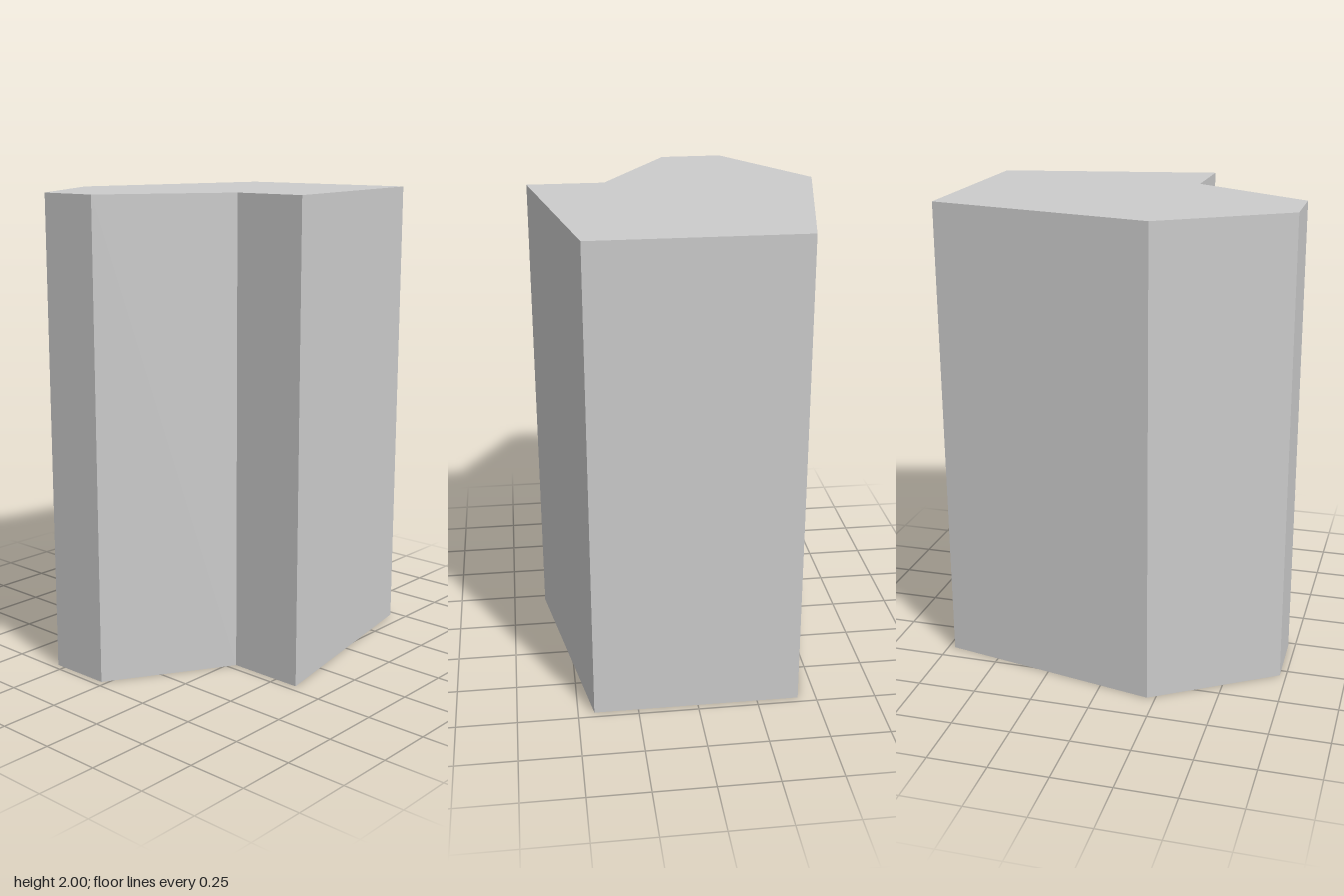
import * as THREE from 'three';

export function createModel() {
  const group = new THREE.Group();
  group.name = 'prism';

  // Floor outline as [x, z]
  const outline = [
    [-0.215, 0.606], [0.721, 0.433], [0.721, -0.424], [-0.215, -0.612],
    [-0.723, -0.29], [-0.72, -0.023], [-0.215, 0.28],
  ];
  const shape = new THREE.Shape(outline.map(([x, z]) => new THREE.Vector2(x, -z)));

  // Extrude straight up to full height
  const geometry = new THREE.ExtrudeGeometry(shape, { depth: 2, bevelEnabled: false });
  geometry.rotateX(-Math.PI / 2);

  const body = new THREE.Mesh(
    geometry,
    new THREE.MeshStandardMaterial({ color: 0xcccccc, flatShading: true })
  );
  body.name = 'notchedColumn';
  group.add(body);
  return group;
}
